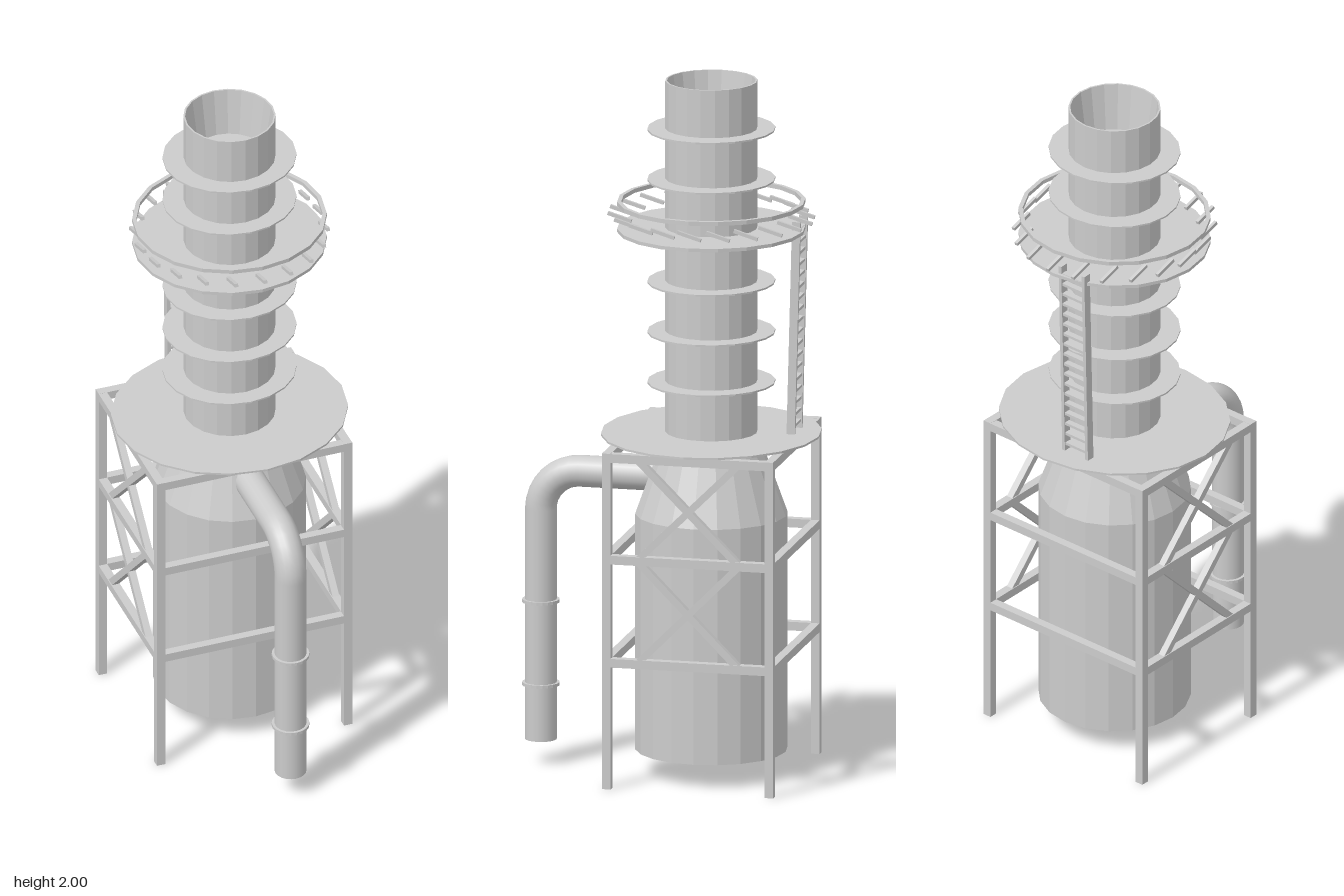
import * as THREE from 'three';

const flat = new THREE.MeshStandardMaterial({ color: 0xcccccc, flatShading: true, side: THREE.DoubleSide });
const smooth = new THREE.MeshStandardMaterial({ color: 0xcccccc, side: THREE.DoubleSide });
const V = (x, y, z) => new THREE.Vector3(x, y, z);
const SIDES = 20;

function add(parent, name, geometry, material = flat) {
  const mesh = new THREE.Mesh(geometry, material);
  mesh.name = name;
  parent.add(mesh);
  return mesh;
}

function group(parent, name) {
  const g = new THREE.Group();
  g.name = name;
  parent.add(g);
  return g;
}

// Rectangular bar between two points: w across, d deep
function bar(parent, name, a, b, w, d = w) {
  const mesh = add(parent, name, new THREE.BoxGeometry(w, d, a.distanceTo(b)));
  mesh.position.copy(a).add(b).multiplyScalar(0.5);
  mesh.lookAt(b);
  return mesh;
}

// Thin, slightly oval disc around the stack
function disc(parent, name, rx, rz, y, t = 0.005) {
  const mesh = add(parent, name, new THREE.CylinderGeometry(rx, rx, t, SIDES));
  mesh.scale.z = rz / rx;
  mesh.position.y = y;
  return mesh;
}

export function createModel() {
  const model = new THREE.Group();
  model.name = 'chimneyTower';
  const tower = group(model, 'tower');
  tower.position.z = -0.12;

  // Vessel, shoulder and chimney in one profile, hollowed at both ends
  const profile = [[0, 0.5], [0.215, 0.07], [0.215, 0.75], [0.143, 0.95], [0.13, 0.98],
    [0.13, 2], [0.125, 2], [0, 1.1]].map(p => new THREE.Vector2(...p));
  add(tower, 'vesselAndChimney', new THREE.LatheGeometry(profile, SIDES));

  // Platform on the frame and cooling rings
  disc(tower, 'lowerPlatform', 0.337, 0.31, 0.983, 0.006);
  for (const y of [1.13, 1.275, 1.42, 1.715, 1.86]) disc(tower, 'ring', 0.19, 0.18, y);

  // Walkway with railing
  const walkway = group(tower, 'walkway');
  disc(walkway, 'walkwayFloor', 0.275, 0.265, 1.571, 0.01);
  const railProfile = [[0.263, 1.642], [0.275, 1.642], [0.275, 1.654], [0.263, 1.654], [0.263, 1.642]]
    .map(p => new THREE.Vector2(...p));
  add(walkway, 'handRail', new THREE.LatheGeometry(railProfile, SIDES)).scale.z = 0.265 / 0.275;
  for (let i = 0; i < SIDES; i++) {
    const a = i / SIDES * Math.PI * 2;
    const x = Math.sin(a) * 0.267, z = Math.cos(a) * 0.258;
    bar(walkway, 'railPost', V(x, 1.574, z), V(x, 1.645, z), 0.01);
  }

  // Ladder, leaning slightly outwards at the top
  const ladder = group(model, 'ladder');
  const ladderZ = t => -0.347 - 0.016 * t;
  for (const x of [-0.1, -0.015]) {
    bar(ladder, 'ladderRail', V(x, 0.985, ladderZ(0)), V(x, 1.6, ladderZ(1)), 0.01, 0.024);
  }
  for (let i = 0; i < 18; i++) {
    const t = (i + 0.7) / 18.5;
    const y = 0.985 + 0.615 * t;
    bar(ladder, 'rung', V(-0.1, y, ladderZ(t)), V(-0.015, y, ladderZ(t)), 0.018, 0.008);
  }

  // Support frame: legs, three levels of beams, crossed braces on both flanks
  const frame = group(model, 'supportFrame');
  const xs = [-0.298, 0.263], zs = [0.118, -0.352], levels = [0.365, 0.663, 0.957];
  const W = 0.025;
  for (const x of xs) for (const z of zs) bar(frame, 'leg', V(x, 0, z), V(x, 0.97, z), W);
  for (const y of levels) {
    for (const z of zs) bar(frame, 'crossBeam', V(xs[0], y, z), V(xs[1], y, z), W);
    for (const x of xs) bar(frame, 'sideBeam', V(x, y, zs[0] + W / 2), V(x, y, zs[1] - W / 2), W);
  }
  const mid = (zs[0] + zs[1]) / 2;
  for (const x of xs) {
    for (let i = 0; i < 2; i++) {
      for (const s of [-1, 1]) {
        bar(frame, 'brace', V(x, levels[i], mid + s * 0.148), V(x, levels[i + 1], mid - s * 0.148), 0.02);
      }
    }
  }

  // Exhaust pipe: riser, elbow and run into the shoulder
  const pipe = group(model, 'sidePipe');
  const R = 0.045, pz = 0.373, py = 0.85, bend = 0.115;
  const riser = add(pipe, 'riser', new THREE.CylinderGeometry(R, R, py - bend - 0.07, 20), smooth);
  riser.position.set(0, (py - bend + 0.07) / 2, pz);
  const elbow = add(pipe, 'elbow', new THREE.TorusGeometry(bend, R, 20, 8, Math.PI / 2), smooth);
  elbow.rotation.y = -Math.PI / 2;
  elbow.position.set(0, py - bend, pz - bend);
  const runLength = pz - bend + 0.02;
  const run = add(pipe, 'run', new THREE.CylinderGeometry(R, R, runLength, 20), smooth);
  run.rotation.x = Math.PI / 2;
  run.position.set(0, py, pz - bend - runLength / 2);
  for (const y of [0.23, 0.47]) {
    const collar = add(pipe, 'collar', new THREE.CylinderGeometry(0.053, 0.053, 0.009, 20));
    collar.position.set(0, y, pz);
  }
  return model;
}
